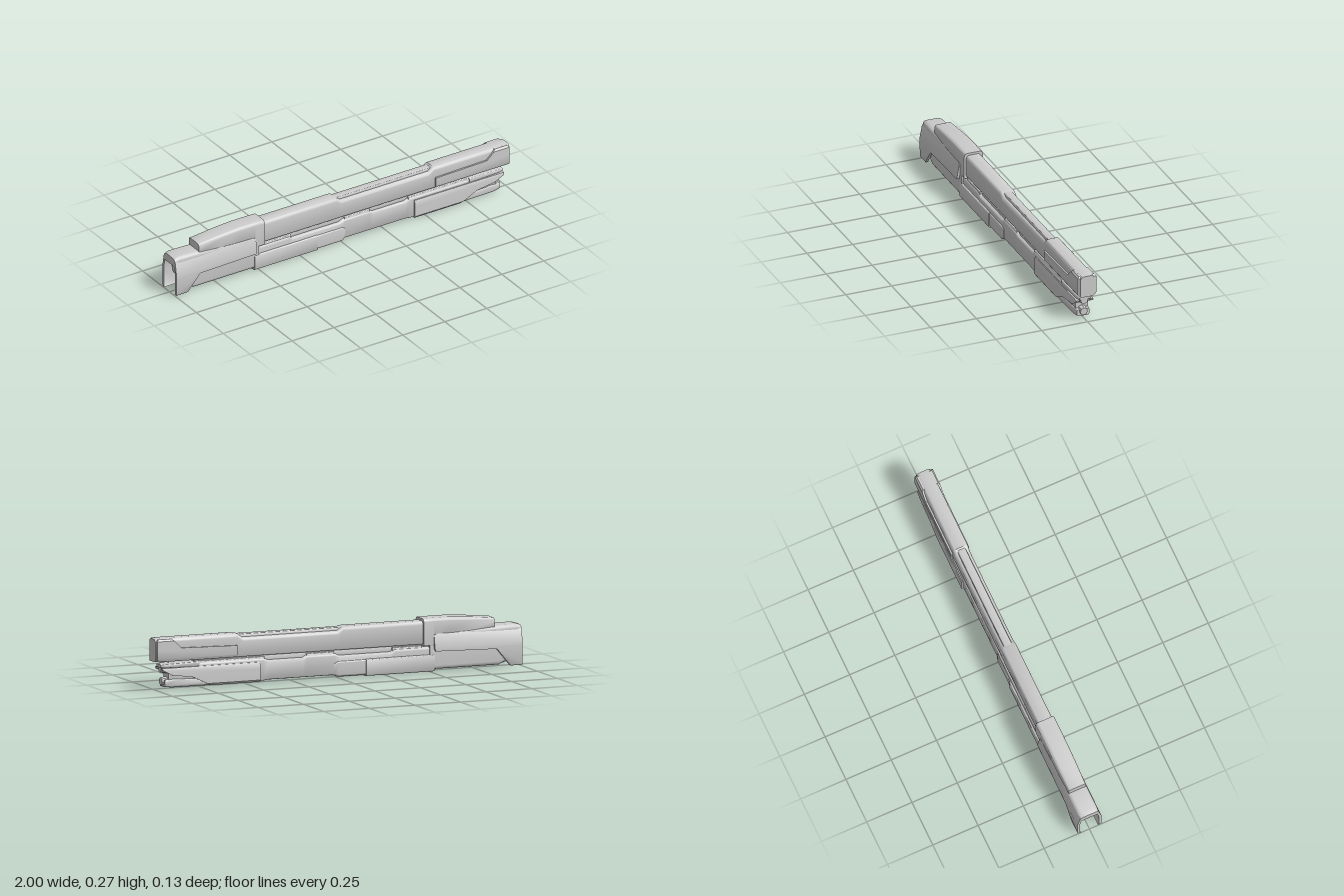
import * as THREE from 'three';
import { toCreasedNormals } from 'three/addons/utils/BufferGeometryUtils.js';

const material = new THREE.MeshStandardMaterial({ color: 0xcccccc, side: THREE.DoubleSide });

// Skin a list of equal-length rings, close both ends and face it outward
function loft(rings) {
  const n = rings[0].length, pos = rings.flat(), tris = [];
  rings.forEach((ring, i) => {
    if (!i) return;
    for (let j = 0; j < n; j++) {
      const a = (i - 1) * n + j, b = (i - 1) * n + (j + 1) % n;
      tris.push([a, b, b + n], [a, b + n, a + n]);
    }
  });
  const last = (rings.length - 1) * n;
  for (let j = 1; j < n - 1; j++) tris.push([0, j + 1, j], [last, last + j, last + j + 1]);
  let volume = 0;
  for (const [a, b, c] of tris) volume += pos[a].dot(pos[b].clone().cross(pos[c]));
  const index = tris.flatMap(([a, b, c]) => (volume < 0 ? [a, c, b] : [a, b, c]));
  const geo = new THREE.BufferGeometry();
  geo.setAttribute('position', new THREE.Float32BufferAttribute(pos.flatMap(p => p.toArray()), 3));
  geo.setIndex(index);
  return toCreasedNormals(geo, 0.6);
}

// Rounded cross-section: [x, bottom, top, half width, top radius, bottom radius]
function section([x, y0, y1, w, rt = 0.015, rb = 0.01]) {
  const ring = [];
  const corners = [[1, 1, rt], [-1, 1, rt], [-1, -1, rb], [1, -1, rb]];
  corners.forEach(([sz, sy, r], q) => {
    for (let k = 0; k <= 4; k++) {
      const a = (q + k / 4) * Math.PI / 2;
      const y = (sy > 0 ? y1 - r : y0 + r) + r * Math.sin(a);
      ring.push(new THREE.Vector3(x, y, sz * (w - r) + r * Math.cos(a)));
    }
  });
  return ring;
}

export function createModel() {
  const root = new THREE.Group();
  const add = (name, geo) => {
    const mesh = new THREE.Mesh(geo, material);
    mesh.name = name;
    root.add(mesh);
    return mesh;
  };
  const hull = (name, stations) => add(name, loft(stations.map(section)));
  // Mirrored side plates, rows: [y, x start, x end, outer z]
  const plates = (name, t, rows) => {
    for (const s of [1, -1]) {
      add(name + (s > 0 ? 'Front' : 'Back'), loft(rows.map(([y, x0, x1, z]) => [
        new THREE.Vector3(x0, y, s * z), new THREE.Vector3(x1, y, s * z),
        new THREE.Vector3(x1, y, s * (z - t)), new THREE.Vector3(x0, y, s * (z - t)),
      ])));
    }
  };

  // Upper hull with a shallow recess along the middle
  hull('upperHull', [
    [-0.5, 0.143, 0.262, 0.041, 0.02, 0.012], [-0.03, 0.143, 0.262, 0.041, 0.02, 0.012],
    [0, 0.143, 0.243, 0.04, 0.02, 0.012], [0.52, 0.143, 0.243, 0.04, 0.02, 0.012],
    [0.55, 0.143, 0.264, 0.041, 0.02, 0.012], [0.97, 0.143, 0.264, 0.041, 0.02, 0.012],
    [1, 0.145, 0.26, 0.038, 0.018, 0.01],
  ]);
  hull('upperSpine', [[-0.05, 0.23, 0.258, 0.022, 0.006, 0.003], [0.56, 0.23, 0.258, 0.022, 0.006, 0.003]]);
  plates('upperBowPlate', 0.02, [
    [0.152, 0.555, 0.995, 0.046], [0.16, 0.555, 0.995, 0.05],
    [0.205, 0.555, 0.995, 0.05], [0.212, 0.86, 0.995, 0.05],
    [0.25, 0.9, 0.995, 0.05], [0.26, 0.91, 0.985, 0.042],
  ]);

  // Raised stern cover
  hull('sternCover', [
    [-0.855, 0.2, 0.255, 0.047, 0.014, 0.005], [-0.72, 0.196, 0.268, 0.05, 0.016, 0.005],
    [-0.61, 0.193, 0.275, 0.051, 0.017, 0.005], [-0.522, 0.19, 0.275, 0.051, 0.017, 0.005],
    [-0.52, 0.135, 0.275, 0.051, 0.017, 0.005], [-0.465, 0.135, 0.274, 0.051, 0.017, 0.005],
  ]);

  // Stern: roof, flared side shells and the body inside them
  hull('sternRoof', [
    [-1, 0.17, 0.212, 0.05, 0.018, 0.005], [-0.975, 0.17, 0.218, 0.054, 0.02, 0.005],
    [-0.855, 0.17, 0.215, 0.054, 0.02, 0.005], [-0.52, 0.17, 0.2, 0.05, 0.012, 0.005],
  ]);
  plates('sternShell', 0.014, [
    [0.01, -1, -0.935, 0.061], [0.018, -1, -0.928, 0.066],
    [0.1, -1, -0.86, 0.067], [0.108, -1, -0.525, 0.067],
    [0.122, -1, -0.52, 0.067], [0.19, -1, -0.52, 0.054], [0.2, -0.99, -0.56, 0.048],
  ]);
  hull('sternBody', [
    [-0.95, 0.09, 0.19, 0.038, 0.02, 0.02], [-0.92, 0.03, 0.195, 0.047, 0.02, 0.02],
    [-0.88, 0.014, 0.195, 0.05, 0.02, 0.02], [-0.5, 0.014, 0.19, 0.05, 0.02, 0.02],
  ]);
  const engine = add('sternEngine', new THREE.SphereGeometry(0.04, 20, 12));
  engine.scale.set(0.9, 1.2, 0.85);
  engine.position.set(-0.945, 0.135, 0);

  // Narrow joint between the upper and lower hulls, with raised ribs
  hull('joint', [[-0.5, 0.1, 0.15, 0.024, 0.003, 0.003], [0.78, 0.1, 0.15, 0.024, 0.003, 0.003]]);
  for (const [x0, x1] of [[-0.46, -0.3], [0.02, 0.17], [0.4, 0.78]]) {
    hull('jointRib', [[x0, 0.1, 0.137, 0.036, 0.005, 0.003], [x1, 0.1, 0.137, 0.036, 0.005, 0.003]]);
  }

  // Lower hull, stepped along its length
  hull('lowerHull', [
    [-0.52, 0.012, 0.13, 0.042], [-0.31, 0.012, 0.13, 0.042], [-0.29, 0.012, 0.116, 0.042],
    [-0.01, 0.012, 0.116, 0.042], [0.02, 0.018, 0.13, 0.04], [0.17, 0.018, 0.13, 0.04],
    [0.19, 0.018, 0.118, 0.04], [0.38, 0.018, 0.118, 0.04], [0.41, 0.014, 0.132, 0.04],
    [0.72, 0.014, 0.132, 0.04], [0.86, 0.014, 0.128, 0.037], [0.925, 0.018, 0.12, 0.033],
  ]);
  hull('lowerSternSleeve', [[-0.525, 0.004, 0.09, 0.052, 0.008, 0.012], [-0.15, 0.004, 0.09, 0.052, 0.008, 0.012]]);
  hull('lowerMidSleeve', [
    [-0.15, 0.009, 0.088, 0.047, 0.008, 0.012], [0, 0.009, 0.088, 0.047, 0.008, 0.012],
    [0.02, 0.018, 0.08, 0.042, 0.008, 0.012],
  ]);

  // Bow plates, tapering up to a beak
  plates('lowerBowPlate', 0.018, [
    [0.012, 0.43, 0.7, 0.044], [0.022, 0.43, 0.72, 0.051], [0.06, 0.43, 0.8, 0.051],
    [0.075, 0.43, 0.91, 0.05], [0.1, 0.43, 0.96, 0.05], [0.112, 0.43, 0.965, 0.045],
  ]);
  hull('bowBeak', [
    [0.76, 0.11, 0.136, 0.042, 0.006, 0.004], [0.94, 0.112, 0.131, 0.036, 0.006, 0.004],
    [0.965, 0.114, 0.128, 0.03, 0.006, 0.004],
  ]);
  hull('bowKeel', [
    [0.7, 0.011, 0.05, 0.044, 0.008, 0.012], [0.9, 0.011, 0.055, 0.04, 0.008, 0.012],
    [0.945, 0.014, 0.05, 0.034, 0.008, 0.012],
  ]);

  // Faceted bow caps
  for (const [y, x] of [[0.106, 0.935], [0.041, 0.93]]) {
    const geo = new THREE.CylinderGeometry(0.02, 0.028, 0.05, 8).rotateZ(-Math.PI / 2);
    add('bowCap', toCreasedNormals(geo, 0.6)).position.set(x, y, 0);
  }
  return root;
}
